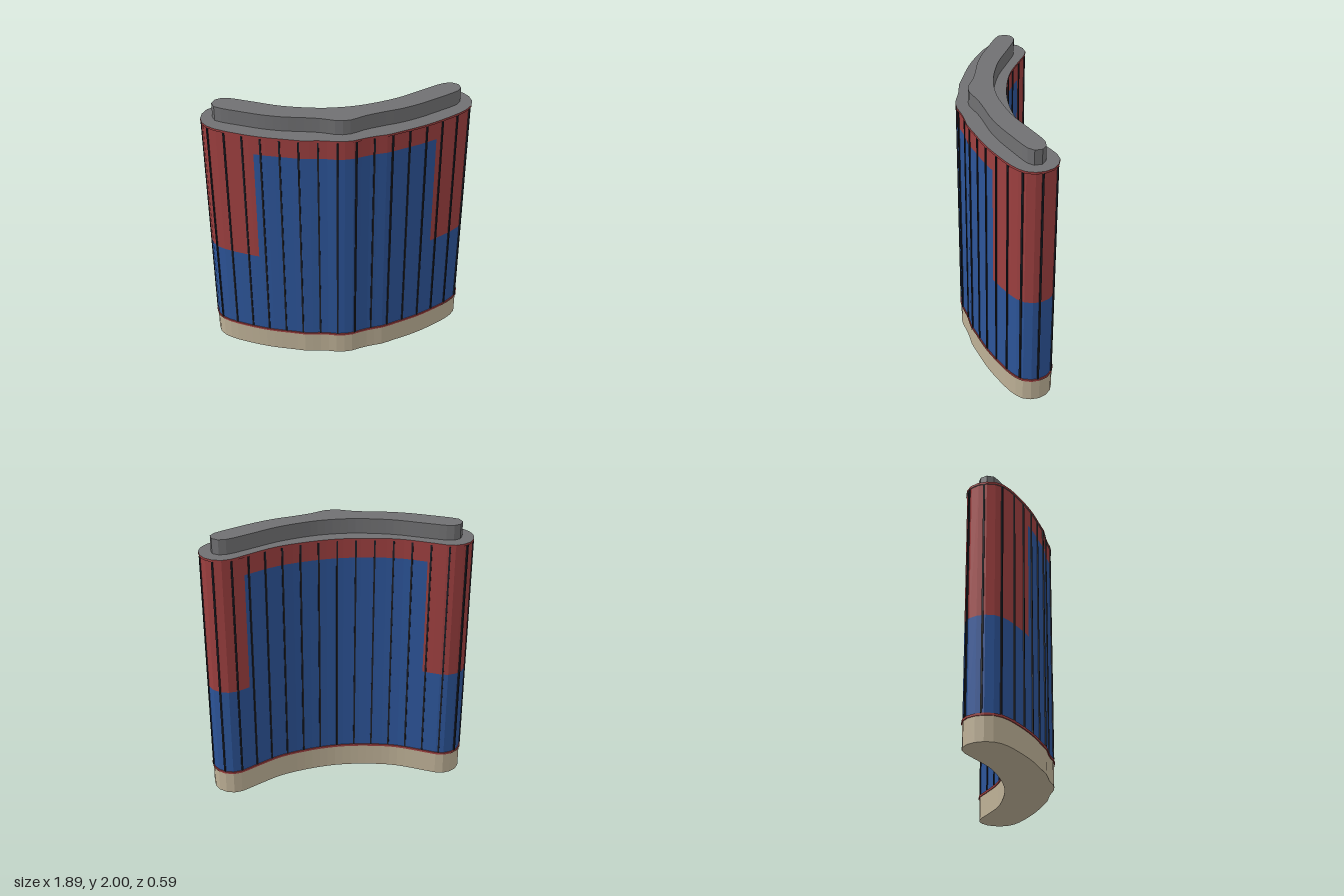
import * as THREE from 'three';

const mat = (name, color, extra = {}) => {
  const m = new THREE.MeshStandardMaterial({ color, ...extra });
  m.name = name;
  return m;
};

// Half outlines as [x, z], from the front centre round the +x end to the back centre
const BODY = [[0.05, 0.283], [0.12, 0.264], [0.2, 0.248], [0.29, 0.238], [0.38, 0.21], [0.56, 0.152], [0.72, 0.08],
  [0.86, 0], [0.92, -0.06], [0.939, -0.13], [0.925, -0.2], [0.88, -0.258], [0.8, -0.288], [0.74, -0.278],
  [0.63, -0.222], [0.43, -0.127], [0.22, -0.078], [0.06, -0.06]];
const PLUG = [[0.04, 0.203], [0.15, 0.16], [0.28, 0.128], [0.4, 0.103], [0.54, 0.056], [0.68, -0.008], [0.8, -0.066],
  [0.85, -0.1], [0.863, -0.14], [0.85, -0.18], [0.8, -0.207], [0.75, -0.202], [0.6, -0.137], [0.4, -0.046],
  [0.2, 0.008], [0.08, 0.025]];

const closedCurve = half => {
  const all = [...half, ...half.map(([x, z]) => [-x, z]).reverse()];
  return new THREE.CatmullRomCurve3(all.map(([x, z]) => new THREE.Vector3(x, 0, z)), true, 'centripetal');
};

const outward = (curve, u) => {
  const t = curve.getTangentAt(u);
  return new THREE.Vector3(-t.z, 0, t.x).normalize();
};

// Points round a curve, pushed outward by a distance
const ring = (curve, n, push = 0) => Array.from({ length: n }, (_, i) =>
  curve.getPointAt(i / n).addScaledVector(outward(curve, i / n), push));

// Upright slab with the given footprint
function slab(name, points, y0, y1, material) {
  const shape = new THREE.Shape(points.map(p => new THREE.Vector2(p.x, -p.z)));
  const geo = new THREE.ExtrudeGeometry(shape, { depth: y1 - y0, bevelEnabled: false });
  geo.rotateX(-Math.PI / 2).translate(0, y0, 0);
  const mesh = new THREE.Mesh(geo, material);
  mesh.name = name;
  return mesh;
}

function wallMesh(name, quads, material) {
  const pos = [];
  for (const [a, b, y0, y1] of quads) {
    pos.push(a.x, y0, a.z, b.x, y0, b.z, b.x, y1, b.z, a.x, y0, a.z, b.x, y1, b.z, a.x, y1, a.z);
  }
  const geo = new THREE.BufferGeometry();
  geo.setAttribute('position', new THREE.Float32BufferAttribute(pos, 3));
  geo.computeVertexNormals();
  const mesh = new THREE.Mesh(geo, material);
  mesh.name = name;
  return mesh;
}

export function createModel() {
  const red = mat('red', 0x9c3f3f);
  const blue = mat('blue', 0x2c5498);
  const tan = mat('tan', 0xbdb096);
  const grey = mat('grey', 0x707072);
  const dark = mat('dark', 0x1c1e26);

  const group = new THREE.Group();
  group.name = 'curvedTower';
  const curve = closedCurve(BODY);
  const N = 72;

  // Base, rims, grey roof and raised plug
  group.add(slab('base', ring(curve, N), 0, 0.172, tan));
  group.add(slab('lowerRim', ring(curve, N, 0.007), 0.172, 0.188, red));
  group.add(slab('roofWithRim', ring(curve, N, 0.007), 1.876, 1.892, [grey, red]));
  group.add(slab('roofPlug', ring(closedCurve(PLUG), N), 1.892, 2, grey));

  // Facade: split the outline where the red end panels begin
  const LEFT = 0.65, RIGHT = -0.61, LOW = 0.188, HIGH = 1.876;
  const pts = ring(curve, N);
  const outline = [];
  pts.forEach((a, i) => {
    const b = pts[(i + 1) % N];
    outline.push(a);
    for (const x of [LEFT, RIGHT]) {
      const t = (x - a.x) / (b.x - a.x);
      if (t > 0.001 && t < 0.999) outline.push(a.clone().lerp(b, t));
    }
  });
  const blueQuads = [], redQuads = [];
  outline.forEach((a, i) => {
    const b = outline[(i + 1) % outline.length];
    const mid = (a.x + b.x) / 2;
    const split = mid > LEFT || mid < RIGHT ? 0.87 : 1.745;
    blueQuads.push([a, b, LOW, split]);
    redQuads.push([a, b, split, HIGH]);
  });
  group.add(wallMesh('blueFacade', blueQuads, blue));
  group.add(wallMesh('redFacade', redQuads, red));

  // Dark vertical fins, evenly spaced round the facade
  const fins = new THREE.Group();
  fins.name = 'fins';
  const finGeo = new THREE.BoxGeometry(0.012, HIGH - LOW, 0.014);
  const length = curve.getLength();
  const count = Math.round(length / 0.13);
  for (let i = 0; i < count; i++) {
    const u = (0.02 / length + i / count) % 1;
    const n = outward(curve, u);
    const fin = new THREE.Mesh(finGeo, dark);
    fin.name = 'fin';
    fin.position.copy(curve.getPointAt(u)).setY((LOW + HIGH) / 2);
    fin.rotation.y = Math.atan2(n.x, n.z);
    fins.add(fin);
  }
  group.add(fins);
  return group;
}
